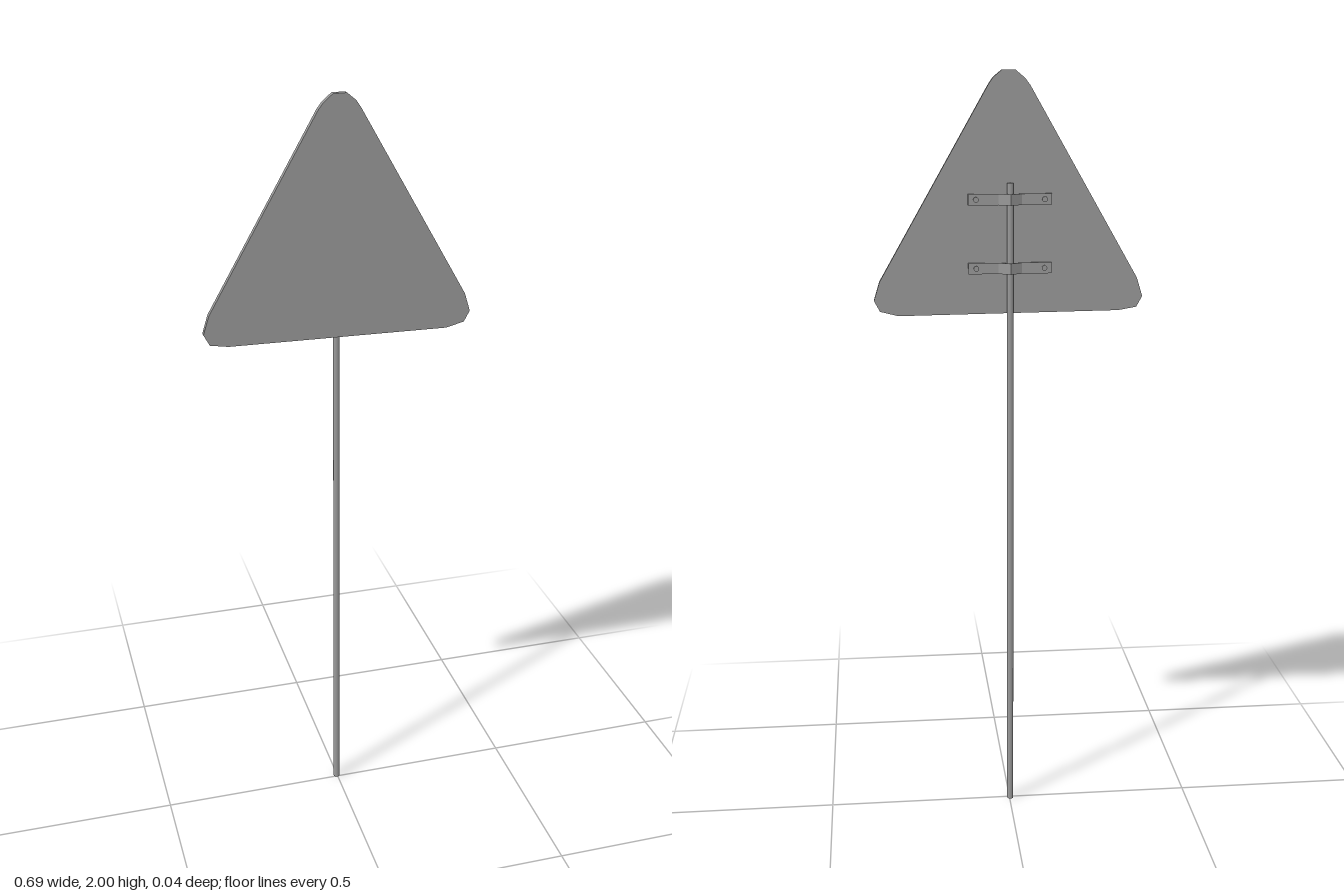
import * as THREE from 'three';
import { toCreasedNormals } from 'three/addons/utils/BufferGeometryUtils.js';

const material = new THREE.MeshStandardMaterial({ color: 0x9a9a9a });

function part(name, geometry, parent) {
  const mesh = new THREE.Mesh(geometry, material);
  mesh.name = name;
  parent.add(mesh);
  return mesh;
}

function extrude(points, depth) {
  const shape = new THREE.Shape(points.map(([x, y]) => new THREE.Vector2(x, y)));
  return new THREE.ExtrudeGeometry(shape, { depth, bevelEnabled: false });
}

// Folded strap that wraps the pole, bolted to the plate on both sides
function createBracket(y) {
  const bracket = new THREE.Group();
  bracket.name = 'bracket';
  const height = 0.028;
  const strap = extrude([
    [-0.108, -0.004], [-0.03, -0.001], [-0.002, 0.0165], [0.026, -0.001], [0.105, -0.004],
    [0.105, 0.004], [0.028, 0.004], [-0.002, 0.0205], [-0.032, 0.004], [-0.108, 0.004],
  ], height);
  strap.rotateX(-Math.PI / 2).translate(0, -height / 2, 0);
  part('strap', strap, bracket);

  for (const x of [-0.09, 0.085]) {
    const bolt = new THREE.CylinderGeometry(0.007, 0.007, 0.006, 12).rotateX(Math.PI / 2);
    part('bolt', bolt, bracket).position.set(x, 0, -0.005);
  }
  bracket.position.y = y;
  return bracket;
}

export function createModel() {
  const model = new THREE.Group();
  model.name = 'triangularSign';

  // Triangular plate with rounded corners and a smoothly shaded rim
  const plate = extrude([
    [0.018, 2], [-0.016, 2], [-0.04, 1.98], [-0.053, 1.963],
    [-0.332, 1.48], [-0.347, 1.432], [-0.332, 1.404], [-0.285, 1.396],
    [0.285, 1.39], [0.332, 1.402], [0.347, 1.43], [0.332, 1.478],
    [0.053, 1.963], [0.04, 1.982],
  ], 0.015).translate(0, 0, 0.004);
  part('signPlate', toCreasedNormals(plate, Math.PI / 3), model);

  // Pole
  const pole = new THREE.CylinderGeometry(0.0085, 0.0085, 1.725, 16);
  part('pole', pole, model).position.set(-0.002, 0.8625, -0.005);

  // Upper and lower brackets
  for (const y of [1.684, 1.51]) model.add(createBracket(y));

  return model;
}
